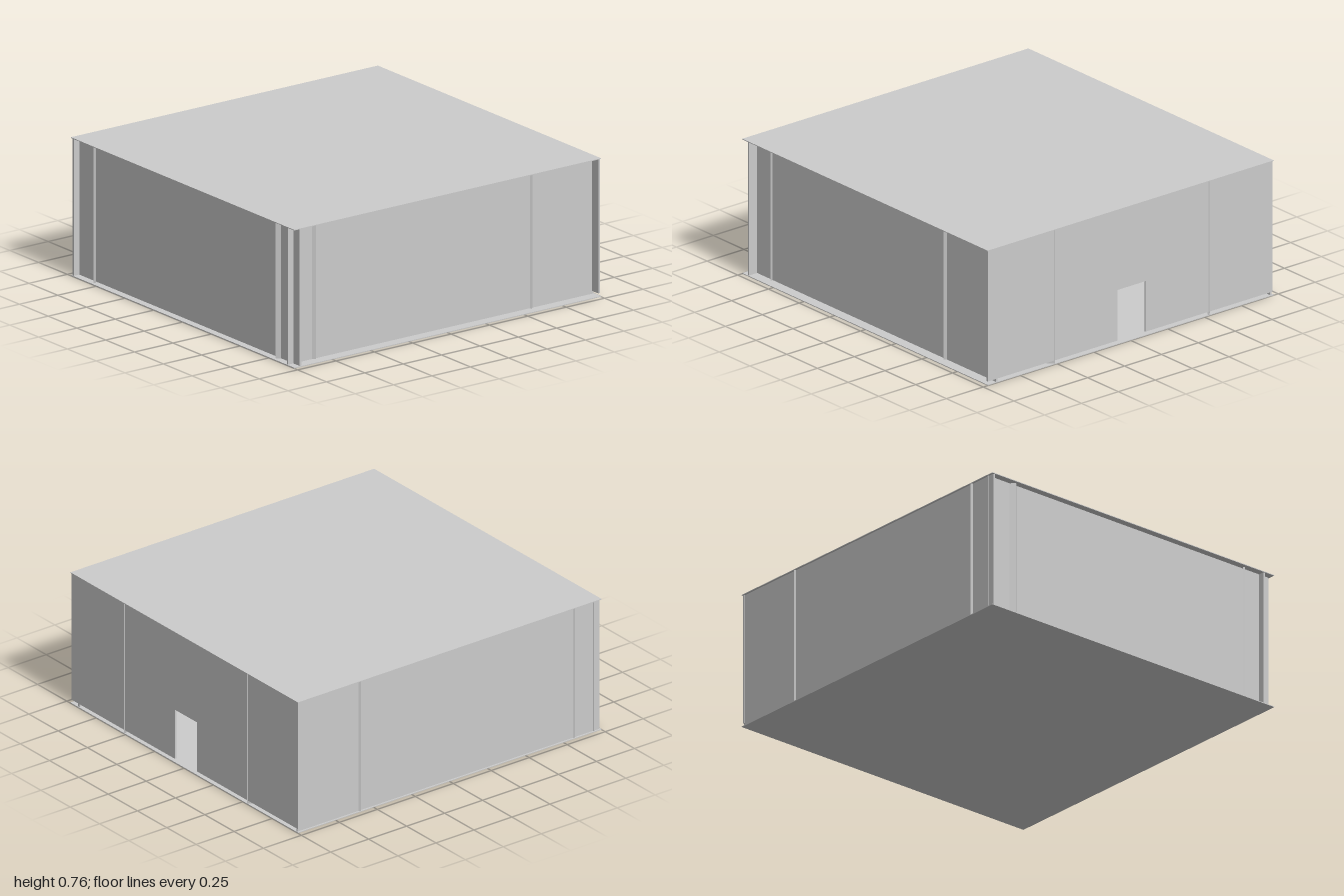
import * as THREE from 'three';

const HEIGHT = 0.76, THICK = 0.01;

export function createModel() {
  const group = new THREE.Group();
  const material = new THREE.MeshStandardMaterial({ color: 0xcccccc, flatShading: true, side: THREE.DoubleSide });

  const add = (name, geometry) => {
    const mesh = new THREE.Mesh(geometry, material);
    mesh.name = name;
    group.add(mesh);
    return mesh;
  };

  // upright panel running between two plan points (x, z)
  const panel = (name, x1, z1, x2, z2) => {
    const length = Math.hypot(x2 - x1, z2 - z1);
    const mesh = add(name, new THREE.BoxGeometry(length, HEIGHT, THICK));
    mesh.position.set((x1 + x2) / 2, HEIGHT / 2, (z1 + z2) / 2);
    mesh.rotation.y = -Math.atan2(z2 - z1, x2 - x1);
  };

  // floor and ceiling sheets
  for (const [name, y] of [['floor', 0.002], ['ceiling', HEIGHT - 0.002]]) {
    add(name, new THREE.BoxGeometry(2, 0.004, 1.94)).position.y = y;
  }

  // plain walls, crossing each other at the corners
  panel('frontWall', -0.995, 0.905, 0.995, 0.905);
  panel('backWall', -0.995, -0.955, 0.995, -0.955);
  panel('rightWall', -0.955, -0.965, -0.955, 0.965);

  // left wall with a doorway, slightly clear of the floor
  const outline = new THREE.Shape();
  [[-0.965, 0.02], [-0.085, 0.02], [-0.085, 0.305], [0.105, 0.305],
    [0.105, 0.02], [0.965, 0.02], [0.965, HEIGHT], [-0.965, HEIGHT]]
    .forEach(([u, v], i) => (i ? outline.lineTo(u, v) : outline.moveTo(u, v)));
  outline.closePath();
  const doorWall = add('doorWall', new THREE.ExtrudeGeometry(outline, { depth: THICK, bevelEnabled: false }));
  doorWall.rotation.y = Math.PI / 2;
  doorWall.position.x = 0.985;

  // diagonal partitions across the corners
  panel('frontLeftPartition', 0.58, 0.92, 0.995, 0.51);
  panel('backLeftPartition', 0.58, -0.965, 0.995, -0.53);
  panel('frontRightPartition', -0.82, 0.92, -0.98, 0.78);
  panel('backRightPartition', -0.82, -0.965, -0.98, -0.79);

  return group;
}
